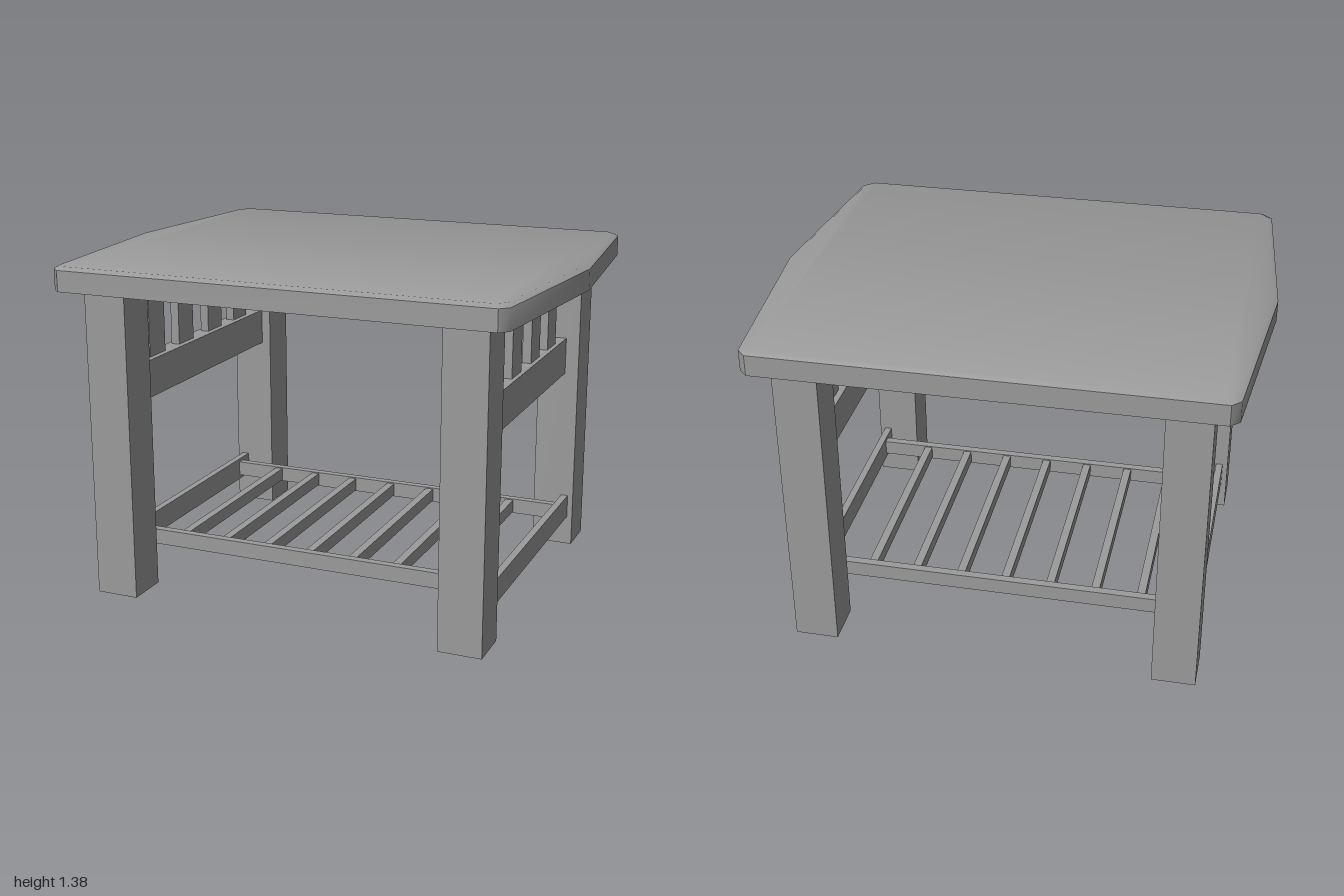
import * as THREE from 'three';
import { toCreasedNormals } from 'three/addons/utils/BufferGeometryUtils.js';

const material = new THREE.MeshStandardMaterial({ color: 0x9b9b9b });
const openMaterial = new THREE.MeshStandardMaterial({ color: 0x9b9b9b, side: THREE.DoubleSide });

// Box given by its min and max on each axis
function addBox(group, name, [x0, x1], [y0, y1], [z0, z1]) {
  const mesh = new THREE.Mesh(new THREE.BoxGeometry(x1 - x0, y1 - y0, z1 - z0), material);
  mesh.position.set((x0 + x1) / 2, (y0 + y1) / 2, (z0 + z1) / 2);
  mesh.name = name;
  group.add(mesh);
  return mesh;
}

// Hollow leg: the box loses its top and bottom faces
function addLeg(group, name, xs, ys, zs) {
  const leg = addBox(group, name, xs, ys, zs);
  const index = [...leg.geometry.index.array];
  leg.geometry.setIndex([...index.slice(0, 12), ...index.slice(24)]);
  leg.geometry.clearGroups();
  leg.material = openMaterial;
}

// Range between a and b, mirrored when s is -1
const side = (s, a, b) => (s > 0 ? [a, b] : [-b, -a]);

// Slab with bowed ends, clipped corners and a softened upper edge
function tabletopGeometry() {
  const quarter = [[1, 0], [0.925, 0.795], [0.89, 0.83]];
  const half = [...quarter, ...quarter.slice(1).reverse().map(([x, z]) => [-x, z])];
  const outline = [...half, ...half.map(([x, z]) => [-x, -z])];
  const n = outline.length;
  const rings = [[1.28, 0], [1.365, 0], [1.378, 0.02]]; // height, inset
  const pos = [], index = [];
  for (const [y, inset] of rings) {
    for (const [x, z] of outline) pos.push(x * (1 - inset), y, z * (1 - inset / 0.83));
  }
  // Walls and bevel
  for (let i = 0; i < n; i++) {
    const j = (i + 1) % n;
    for (let r = 0; r < rings.length - 1; r++) {
      const a = r * n + i, b = r * n + j;
      index.push(a, a + n, b, b, a + n, b + n);
    }
  }
  // Top and underside, in strips running from front to back
  const t = 2 * n;
  for (let a = 0; a < n / 2; a++) {
    const b = a + 1, c = n - a - 1, d = (n - a) % n;
    if (b !== c) index.push(a, b, c, t + a, t + c, t + b);
    if (a !== d) index.push(a, c, d, t + a, t + d, t + c);
  }
  const geo = new THREE.BufferGeometry();
  geo.setAttribute('position', new THREE.Float32BufferAttribute(pos, 3));
  geo.setIndex(index);
  return toCreasedNormals(geo, 0.73);
}

export function createModel() {
  const table = new THREE.Group();
  table.name = 'sideTable';

  const top = new THREE.Mesh(tabletopGeometry(), material);
  top.name = 'tabletop';
  table.add(top);

  for (const s of [1, -1]) {
    const end = s > 0 ? 'left' : 'right';
    // Legs
    for (const t of [1, -1]) {
      addLeg(table, end + (t > 0 ? 'Front' : 'Back') + 'Leg',
        side(s, 0.655, 0.833), [0, 1.28], side(t, 0.553, 0.732));
    }
    // End panel: rail with four upright slats above it
    addBox(table, end + 'UpperRail', side(s, 0.695, 0.775), [0.788, 0.945], [-0.553, 0.553]);
    for (const z of [-0.376, -0.131, 0.131, 0.376]) {
      addBox(table, end + 'UprightSlat', side(s, 0.72, 0.757), [0.945, 1.28], [z - 0.063, z + 0.063]);
    }
    // Lower end rail
    addBox(table, end + 'LowerRail', side(s, 0.78, 0.81), [0.127, 0.227], [-0.553, 0.553]);
    // Shelf rail, running between the lower end rails
    addBox(table, s > 0 ? 'frontShelfRail' : 'backShelfRail',
      [-0.78, 0.78], [0.147, 0.212], side(s, 0.455, 0.49));
  }

  // Shelf slats from front rail to back rail
  for (let i = -3; i <= 3; i++) {
    const x = i * 0.19;
    addBox(table, 'shelfSlat', [x - 0.017, x + 0.017], [0.152, 0.207], [-0.455, 0.455]);
  }
  return table;
}
